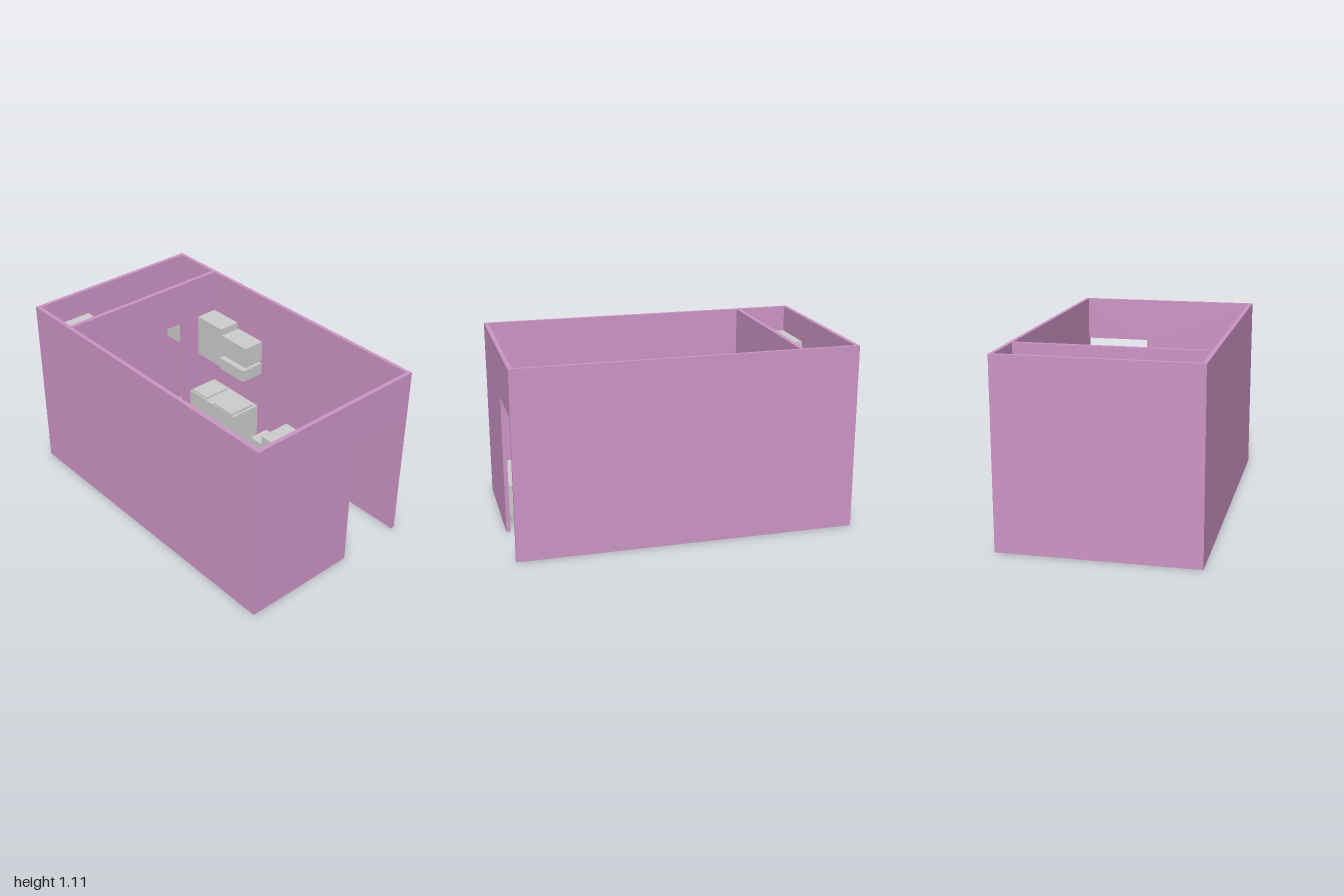
import * as THREE from 'three';

const wallMat = new THREE.MeshStandardMaterial({ color: 0xcc94c4 });
const greyMat = new THREE.MeshStandardMaterial({ color: 0xcccccc });

const H = 1.105, DOOR_H = 0.83;

// Box given by its lower and upper limits along each axis
function block(name, [x0, x1], [y0, y1], [z0, z1], mat = greyMat) {
  const mesh = new THREE.Mesh(new THREE.BoxGeometry(x1 - x0, y1 - y0, z1 - z0), mat);
  mesh.position.set((x0 + x1) / 2, (y0 + y1) / 2, (z0 + z1) / 2);
  mesh.name = name;
  return mesh;
}

// Wall running along z with a doorway that reaches the ground
function doorWall(name, [x0, x1], [z0, z1], [d0, d1]) {
  const outline = [[z0, 0], [d0, 0], [d0, DOOR_H], [d1, DOOR_H], [d1, 0], [z1, 0], [z1, H], [z0, H]];
  // shape x is -z, so that the extrusion points along +x after turning
  const shape = new THREE.Shape(outline.map(([z, y]) => new THREE.Vector2(-z, y)));
  const geo = new THREE.ExtrudeGeometry(shape, { depth: x1 - x0, bevelEnabled: false });
  geo.rotateY(Math.PI / 2);
  geo.translate(x0, 0, 0);
  const mesh = new THREE.Mesh(geo, wallMat);
  mesh.name = name;
  return mesh;
}

export function createModel() {
  const model = new THREE.Group();
  model.name = 'smallApartment';

  // Outer walls and partition
  const walls = new THREE.Group();
  walls.name = 'walls';
  walls.add(
    block('frontWall', [-1, 1], [0, H], [0.553, 0.577], wallMat),
    block('backWall', [-1, 1], [0, H], [-0.577, -0.555], wallMat),
    block('rightEndWall', [-1, -0.976], [0, H], [-0.555, 0.553], wallMat),
    doorWall('entranceWall', [0.976, 1], [-0.577, 0.553], [-0.553, -0.143]),
    doorWall('partition', [-0.67, -0.644], [-0.555, 0.553], [-0.28, -0.115]),
  );

  // Main room furniture
  const room = new THREE.Group();
  room.name = 'mainRoom';
  room.add(
    block('bed', [0.325, 0.975], [0, 0.2], [0.083, 0.551]),
    block('bedsideStool', [-0.16, -0.02], [0, 0.145], [0.425, 0.551]),
    block('desk', [-0.643, -0.42], [0, 0.285], [0.105, 0.551]),
    block('wallScreen', [-0.643, -0.615], [0.46, 0.66], [0.165, 0.488]),
    block('sideCabinet', [0.07, 0.29], [0.01, 0.29], [-0.554, -0.335]),
    block('bin', [-0.115, 0.02], [0.005, 0.145], [-0.554, -0.415]),
  );
  for (const z of [0.17, 0.32]) room.add(block('stool', [-0.385, -0.245], [0, 0.145], [z, z + 0.135]));

  // Kitchen along the back wall
  const kitchen = new THREE.Group();
  kitchen.name = 'kitchen';
  kitchen.add(
    block('counter', [-0.643, -0.208], [0.01, 0.29], [-0.554, -0.338]),
    block('sink', [-0.63, -0.485], [0.29, 0.302], [-0.53, -0.348]),
    block('hob', [-0.405, -0.225], [0.29, 0.305], [-0.53, -0.342]),
    block('tallWallCabinet', [-0.643, -0.415], [0.55, 0.83], [-0.554, -0.413]),
    block('cookerHood', [-0.405, -0.18], [0.552, 0.632], [-0.554, -0.395]),
    block('shortWallCabinet', [-0.405, -0.18], [0.65, 0.79], [-0.554, -0.413]),
  );

  // Bathroom behind the partition
  const bathroom = new THREE.Group();
  bathroom.name = 'bathroom';
  bathroom.add(
    block('showerCabin', [-0.974, -0.674], [0, 0.945], [0.218, 0.551]),
    block('toilet', [-0.975, -0.837], [0, 0.145], [0.027, 0.165]),
    block('washstand', [-0.975, -0.846], [0.01, 0.29], [-0.222, -0.005]),
    block('waterHeater', [-0.97, -0.692], [0.55, 0.83], [-0.547, -0.41]),
    block('paperHolder', [-0.712, -0.688], [0.3, 0.325], [0.083, 0.107]),
  );

  model.add(walls, room, kitchen, bathroom);
  return model;
}
